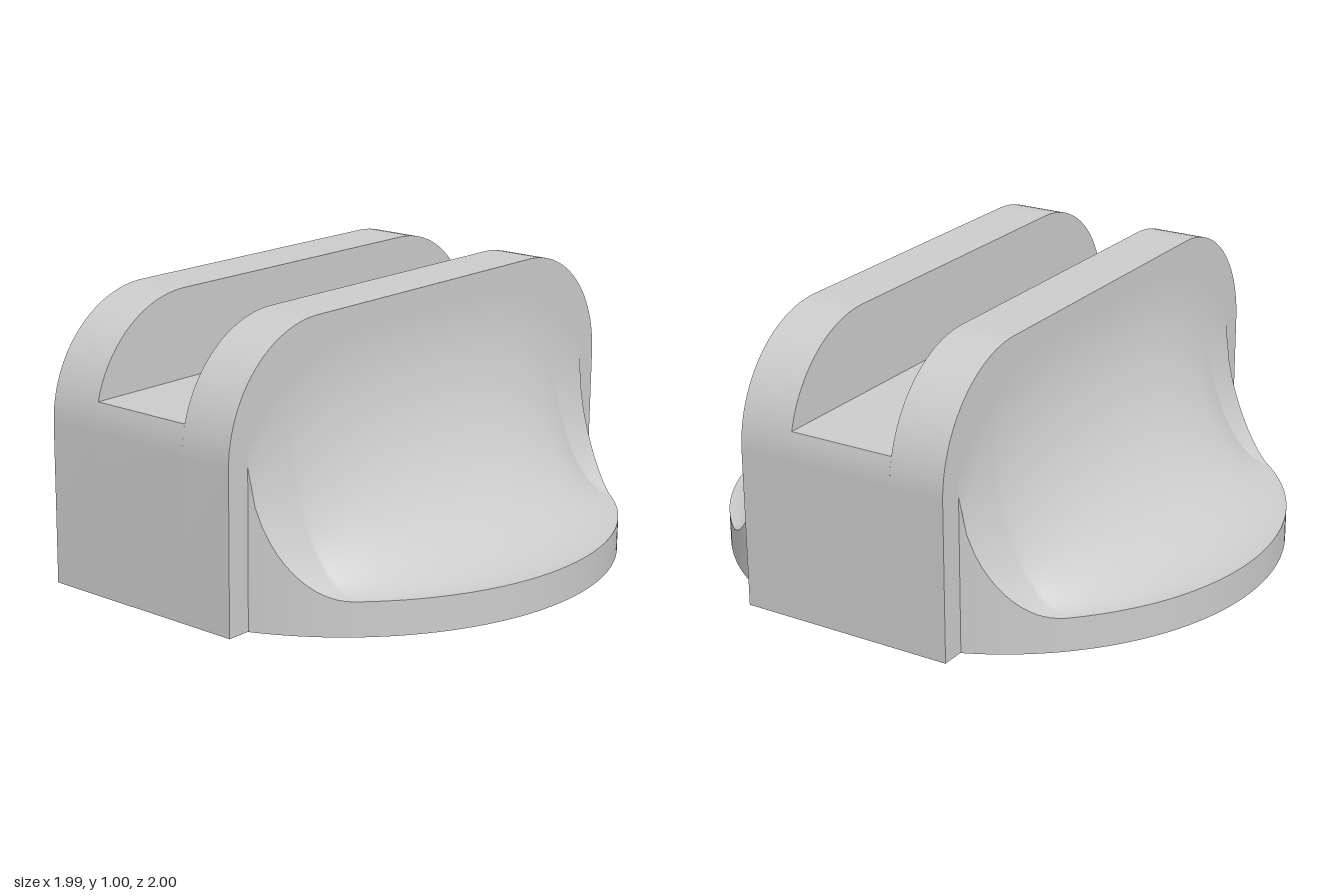
import * as THREE from 'three';
import { toCreasedNormals } from 'three/addons/utils/BufferGeometryUtils.js';
import { ParametricGeometry } from 'three/addons/geometries/ParametricGeometry.js';

const R = 0.995;       // base disc radius
const HALF = 0.395;    // half width of the central grip
const SLOT = 0.195;    // half width of the slot
const RIM = 0.12;      // thickness of the disc edge
const LENGTH = 0.998;  // half length of the grip
const CORNER = 0.42;   // radius of the grip's upper corners
const TOP = 0.98;
const FLOOR = 0.667;

const material = new THREE.MeshStandardMaterial({ color: 0xcccccc, side: THREE.DoubleSide });

function addMesh(parent, name, geometry) {
  const mesh = new THREE.Mesh(geometry, material);
  mesh.name = name;
  parent.add(mesh);
}

// Rounded side outline cut off at a given height, extruded from x0 to x1
function gripSlice(top, x0, x1) {
  const centreY = TOP - CORNER, centreZ = LENGTH - CORNER;
  const end = Math.asin(Math.min(1, (top - centreY) / CORNER));
  const arc = [];
  for (let i = 0; i <= 24; i++) {
    const a = (end * i) / 24;
    arc.push(new THREE.Vector2(centreZ + CORNER * Math.cos(a), centreY + CORNER * Math.sin(a)));
  }
  const mirrored = arc.map((p) => new THREE.Vector2(-p.x, p.y)).reverse();
  const shape = new THREE.Shape([
    new THREE.Vector2(-LENGTH, 0), new THREE.Vector2(LENGTH, 0), ...arc, ...mirrored,
  ]);
  const geometry = new THREE.ExtrudeGeometry(shape, { depth: x1 - x0, bevelEnabled: false });
  geometry.rotateY(Math.PI / 2).translate(x0, 0, 0);
  return toCreasedNormals(geometry, 0.5);
}

// Concave sweep from the grip down to the disc edge
function sweepHeight(x, z) {
  const outer = Math.max(Math.sqrt(R * R - z * z), 0.68);
  const rise = 0.78 - 0.3 * Math.pow(z / 0.917, 4);
  const t = Math.min(1, Math.max(0, (outer - x) / (outer - HALF)));
  return RIM + rise * (1 - Math.sqrt(1 - t * t));
}

// One side of the disc: concave top, edge wall and underside
function sideFlange(name) {
  const group = new THREE.Group();
  group.name = name;
  const maxAngle = Math.acos((HALF + 0.002) / R);
  const rim = (u) => {
    const a = (2 * u - 1) * maxAngle;
    return [R * Math.cos(a), R * Math.sin(a)];
  };
  const top = (u, v, target) => {
    const [xr, z] = rim(u);
    const x = HALF + (xr - HALF) * v * v;
    target.set(x, sweepHeight(x, z), z);
  };
  const wall = (u, v, target) => {
    const [x, z] = rim(u);
    target.set(x, sweepHeight(x, z) * (1 - v), z);
  };
  const underside = (u, v, target) => {
    const [xr, z] = rim(u);
    target.set(xr + (HALF - xr) * v, 0, z);
  };
  addMesh(group, 'concaveTop', new ParametricGeometry(top, 96, 32));
  addMesh(group, 'edgeWall', new ParametricGeometry(wall, 96, 1));
  addMesh(group, 'underside', new ParametricGeometry(underside, 96, 1));
  return group;
}

export function createModel() {
  const model = new THREE.Group();
  model.name = 'slottedKnob';

  // Central grip with a lengthwise slot
  addMesh(model, 'gripCore', gripSlice(FLOOR, -SLOT, SLOT));
  addMesh(model, 'leftWall', gripSlice(TOP, SLOT, HALF));
  addMesh(model, 'rightWall', gripSlice(TOP, -HALF, -SLOT));

  // Matching flanges on both sides
  const left = sideFlange('leftFlange');
  const right = sideFlange('rightFlange');
  right.rotation.y = Math.PI;
  model.add(left, right);

  // Slight backward lean
  model.rotation.x = -0.011;
  model.position.set(-0.004, 0.012, 0);

  const root = new THREE.Group();
  root.name = 'knob';
  root.add(model);
  return root;
}
